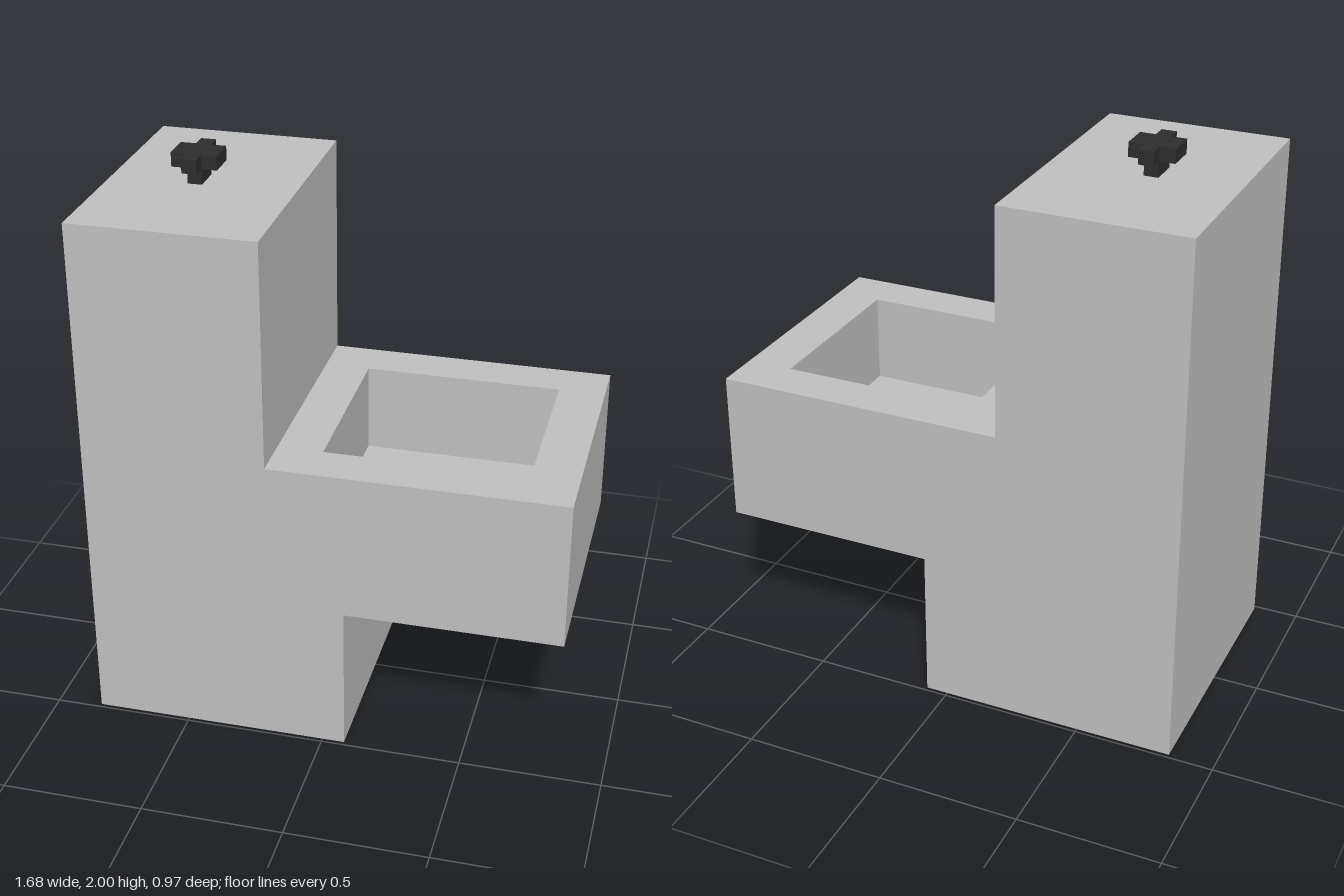
import * as THREE from 'three';
import { mergeGeometries } from 'three/addons/utils/BufferGeometryUtils.js';

const HALF = 0.485; // half depth of the body
const RIM_Y = 1.085, FLOOR_Y = 0.76;
const HOLE = { x0: -0.03, x1: 0.675, z: 0.325 };

// Side profile, counter-clockwise seen from the front
const PROFILE = [
  [-0.84, 0], [0.08, 0], [0.08, 0.545], [0.84, 0.545],
  [0.84, RIM_Y], [-0.19, RIM_Y], [-0.19, 1.895], [-0.84, 1.895],
].map(([x, y]) => new THREE.Vector2(x, y));
const RIM_EDGE = 4;

// Flat strip across the depth, following one profile edge
function strip(a, b) {
  const g = new THREE.BufferGeometry();
  g.setAttribute('position', new THREE.Float32BufferAttribute([
    a.x, a.y, HALF, a.x, a.y, -HALF, b.x, b.y, -HALF, b.x, b.y, HALF,
  ], 3));
  g.setAttribute('uv', new THREE.Float32BufferAttribute([0, 0, 0, 1, 1, 1, 1, 0], 2));
  g.setIndex([0, 1, 2, 0, 2, 3]);
  g.computeVertexNormals();
  return g;
}

function rectPoints(x0, x1, z) {
  return [[x0, -z], [x1, -z], [x1, z], [x0, z]].map(([x, y]) => new THREE.Vector2(x, y));
}

export function createModel() {
  const model = new THREE.Group();
  const grey = new THREE.MeshStandardMaterial({ color: 0xc0c0c0 });
  grey.name = 'light grey';
  const black = new THREE.MeshStandardMaterial({ color: 0x2d2d2d });
  black.name = 'near black';

  const add = (name, geometry, material) => {
    const mesh = new THREE.Mesh(geometry, material);
    mesh.name = name;
    model.add(mesh);
    return mesh;
  };

  // Tank, pedestal and bowl shell: two side faces and the strips between them
  const side = new THREE.Shape(PROFILE);
  const shell = [
    new THREE.ShapeGeometry(side).translate(0, 0, HALF),
    new THREE.ShapeGeometry(new THREE.Shape(PROFILE.map((p) => new THREE.Vector2(-p.x, p.y))))
      .rotateY(Math.PI).translate(0, 0, -HALF),
  ];
  PROFILE.forEach((p, i) => {
    if (i !== RIM_EDGE) shell.push(strip(p, PROFILE[(i + 1) % PROFILE.length]));
  });
  add('body', mergeGeometries(shell), grey);

  // Rim around the bowl opening
  const rim = new THREE.Shape(rectPoints(-0.19, 0.84, HALF));
  rim.holes.push(new THREE.Path(rectPoints(HOLE.x0, HOLE.x1, HOLE.z)));
  add('bowlRim', new THREE.ShapeGeometry(rim).rotateX(-Math.PI / 2).translate(0, RIM_Y, 0), grey);

  // Basin: an inside-out box without its top
  const basin = new THREE.BoxGeometry(HOLE.x1 - HOLE.x0, RIM_Y - FLOOR_Y, HOLE.z * 2);
  basin.setIndex(Array.from(basin.index.array).filter((_, i) => i < 12 || i >= 18).reverse());
  basin.clearGroups();
  basin.computeVertexNormals();
  basin.translate((HOLE.x0 + HOLE.x1) / 2, (RIM_Y + FLOOR_Y) / 2, 0);
  add('basin', basin, grey);

  // Flush knob: stem with a cross-shaped cap
  add('knobStem', new THREE.BoxGeometry(0.05, 0.055, 0.105), black).position.set(-0.54, 1.9225, 0);
  const cross = new THREE.Shape([
    [-0.08, -0.053], [-0.026, -0.053], [-0.026, -0.107], [0.026, -0.107], [0.026, -0.053], [0.08, -0.053],
    [0.08, 0.053], [0.026, 0.053], [0.026, 0.107], [-0.026, 0.107], [-0.026, 0.053], [-0.08, 0.053],
  ].map(([x, y]) => new THREE.Vector2(x, y)));
  const cap = new THREE.ExtrudeGeometry(cross, { depth: 0.05, bevelEnabled: false }).rotateX(-Math.PI / 2);
  add('knobCap', cap, black).position.set(-0.54, 1.95, 0);

  return model;
}
